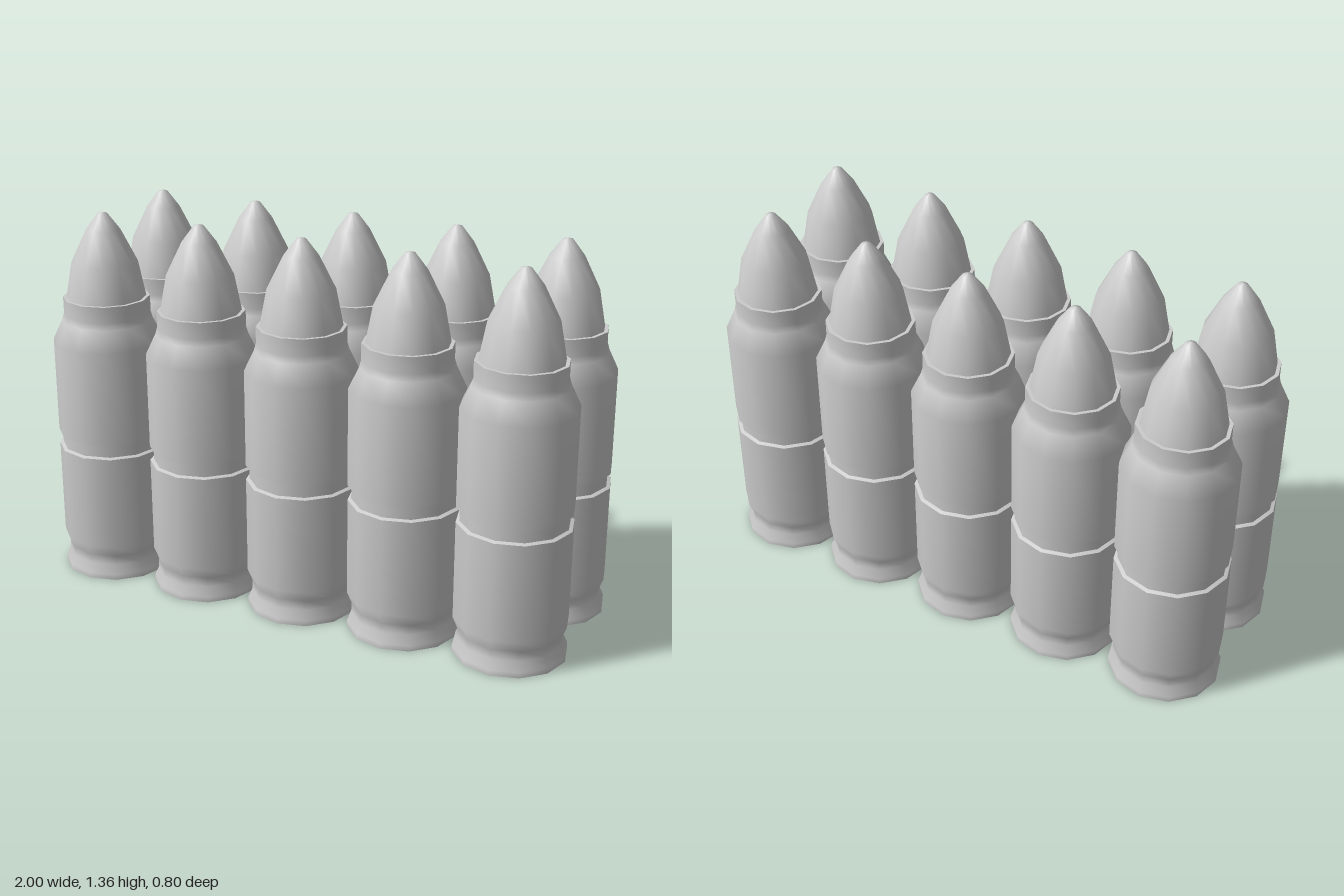
import * as THREE from 'three';
import { mergeGeometries } from 'three/addons/utils/BufferGeometryUtils.js';

const SIDES = 12;

// Each band of [radius, height] points is smooth; edges between bands stay sharp.
function turned(bands) {
  return mergeGeometries(bands.map((band) =>
    new THREE.LatheGeometry(band.map(([r, y]) => new THREE.Vector2(r, y)), SIDES)));
}

export function createModel() {
  const group = new THREE.Group();
  const material = new THREE.MeshStandardMaterial({ color: 0xcccccc });

  // Casing: base, rim with extractor groove, lower wall, middle groove, upper wall, shoulder, neck lip
  const casing = turned([
    [[0, 0], [0.2, 0]],
    [[0.2, 0], [0.2, 0.02], [0.184, 0.055], [0.184, 0.09], [0.2, 0.13], [0.2, 0.484]],
    [[0.2, 0.484], [0.187, 0.489]],
    [[0.187, 0.489], [0.187, 0.533]],
    [[0.187, 0.533], [0.2, 0.538]],
    [[0.2, 0.538], [0.2, 0.89], [0.164, 0.965], [0.157, 0.99], [0.157, 1.05]],
    [[0.157, 1.05], [0.144, 1.05]],
  ]);

  // Pointed tip with a small blunt end
  const tip = turned([
    [[0.144, 1.05], [0.119, 1.18], [0.061, 1.298], [0.018, 1.355], [0, 1.36]],
  ]);

  // Two rows of five
  for (const z of [-0.2, 0.2]) {
    for (let i = 0; i < 5; i++) {
      const round = new THREE.Group();
      round.name = 'cartridge';
      for (const [name, geometry] of [['casing', casing], ['bulletTip', tip]]) {
        const mesh = new THREE.Mesh(geometry, material);
        mesh.name = name;
        round.add(mesh);
      }
      round.position.set((i - 2) * 0.4, 0, z);
      group.add(round);
    }
  }
  return group;
}
